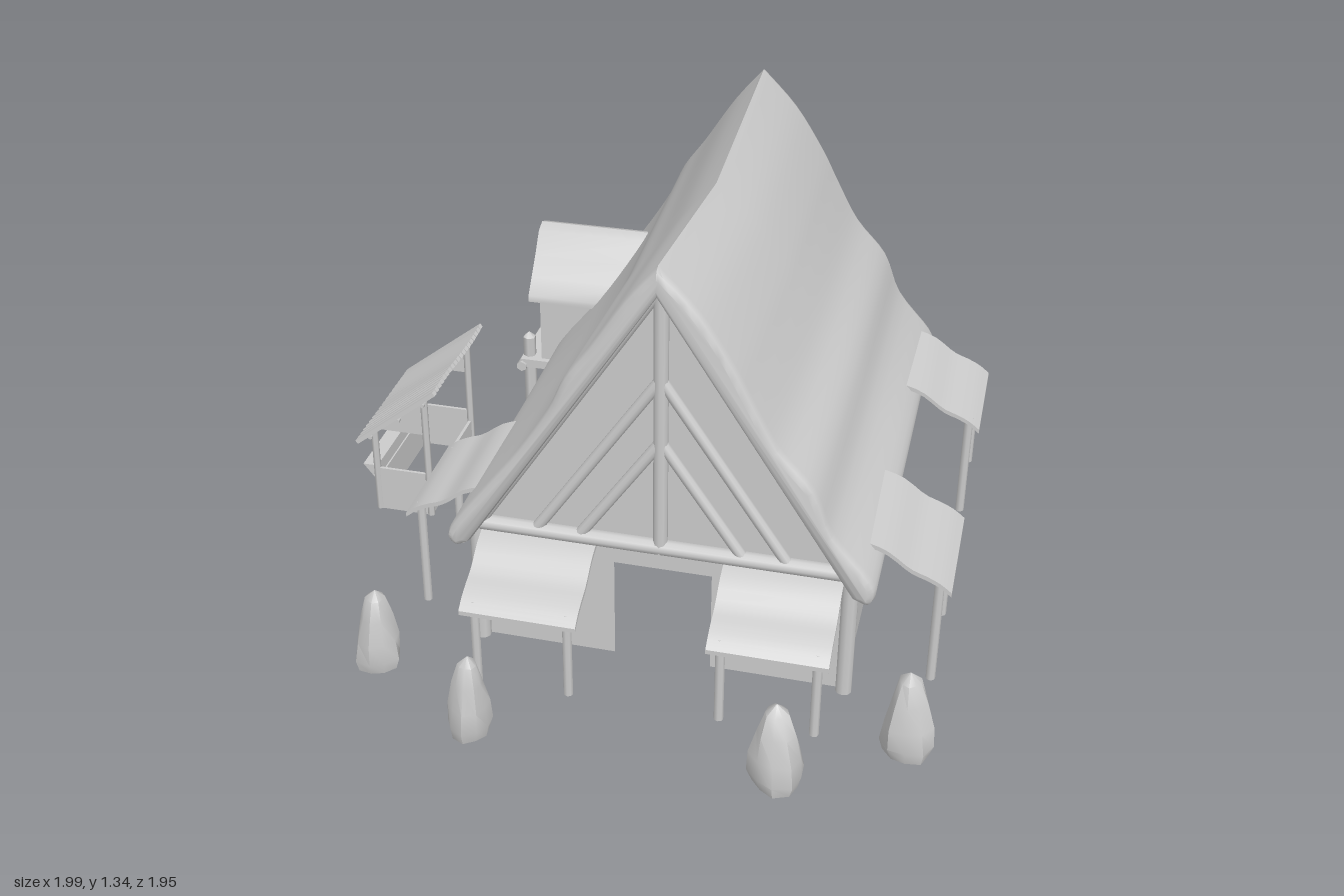
import * as THREE from 'three';
import { toCreasedNormals } from 'three/addons/utils/BufferGeometryUtils.js';

const grey = new THREE.MeshStandardMaterial({ color: 0xcccccc, side: THREE.DoubleSide });
const V = (x, y, z) => new THREE.Vector3(x, y, z);
const shapeOf = pts => new THREE.Shape(pts.map(p => new THREE.Vector2(p[0], p[1])));

function add(parent, name, geo, x = 0, y = 0, z = 0) {
  const m = new THREE.Mesh(geo, grey);
  m.name = name;
  m.position.set(x, y, z);
  parent.add(m);
  return m;
}

// Round timber between two points
function beam(parent, name, a, b, r, sides = 10) {
  const d = b.clone().sub(a);
  const m = add(parent, name, new THREE.CylinderGeometry(r, r, d.length(), sides));
  m.position.copy(a).add(b).multiplyScalar(0.5);
  m.quaternion.setFromUnitVectors(V(0, 1, 0), d.normalize());
  return m;
}

// Sheet of constant thickness under a list of points, extruded along z and centred
function sheet(pts, thick, depth) {
  const under = pts.map(p => [p[0], p[1] - thick]).reverse();
  const g = new THREE.ExtrudeGeometry(shapeOf([...pts, ...under]), { depth, bevelEnabled: false });
  g.translate(0, 0, -depth / 2);
  return toCreasedNormals(g, 0.7);
}

const smooth = (pts, n) => new THREE.SplineCurve(pts.map(p => new THREE.Vector2(p[0], p[1])))
  .getPoints(n).map(p => [p.x, p.y]);

const RIDGE = 0.16, FRONT = 0.47, BACK = -0.93, LEFT = 0.71, RIGHT = -0.39;

// Thatched main roof: wavy profile, sagging ridge
function addRoof(g) {
  const left = smooth([[0.16, 1.335], [0.275, 1.215], [0.37, 1.07], [0.425, 0.965], [0.5, 0.83],
    [0.6, 0.715], [0.66, 0.575], [0.77, 0.445], [0.785, 0.39], [0.765, 0.36], [0.72, 0.375]], 40);
  const right = smooth([[-0.4, 0.375], [-0.44, 0.36], [-0.465, 0.395], [-0.43, 0.46], [-0.34, 0.58],
    [-0.24, 0.715], [-0.15, 0.86], [-0.1, 0.97], [-0.03, 1.07], [0.07, 1.225], [0.16, 1.335]], 40);
  const geo = new THREE.ExtrudeGeometry(shapeOf([...left, [RIDGE, 1.245], ...right.slice(0, -1)]), {
    depth: 1.46, steps: 2, bevelThickness: 0.03, bevelSize: 0.02, bevelOffset: -0.02, bevelSegments: 2,
  });
  geo.translate(0, 0, -0.94);
  const p = geo.attributes.position;
  for (let i = 0; i < p.count; i++) {
    const t = Math.min(1, Math.abs(p.getZ(i) + 0.21) / 0.73);
    const y = p.getY(i);
    p.setY(i, y - 0.085 * (1 - t) * Math.max(0, (y - 0.36) / 0.97));
  }
  add(g, 'thatchedRoof', toCreasedNormals(geo, 0.75));
}

// Walls, corner posts and gable timbers
function addHouse(g) {
  const gable = [[LEFT, 0], [LEFT, 0.4], [RIDGE, 1.26], [RIGHT, 0.4], [RIGHT, 0]];
  const door = [[0.02, 0], [0.02, 0.33], [0.31, 0.33], [0.31, 0]];
  add(g, 'frontWall', new THREE.ShapeGeometry(shapeOf([...gable, ...door])), 0, 0, FRONT);
  add(g, 'backWall', new THREE.ShapeGeometry(shapeOf(gable)), 0, 0, BACK);

  const side = [[FRONT, 0], [FRONT, 0.4], [BACK, 0.4], [BACK, 0]];
  const gap = [[-0.85, 0], [-0.85, 0.33], [-0.32, 0.33], [-0.32, 0]];
  add(g, 'leftWall', new THREE.ShapeGeometry(shapeOf(side)).rotateY(-Math.PI / 2), LEFT);
  add(g, 'rightWall', new THREE.ShapeGeometry(shapeOf([...side, ...gap])).rotateY(-Math.PI / 2), RIGHT);

  for (const z of [FRONT + 0.01, BACK - 0.01]) {
    for (const x of [LEFT, RIGHT]) beam(g, 'cornerPost', V(x, 0, z), V(x, 0.41, z), 0.024);
    beam(g, 'tieBeam', V(RIGHT - 0.01, 0.415, z), V(LEFT + 0.01, 0.415, z), 0.024);
    beam(g, 'kingPost', V(RIDGE, 0.4, z), V(RIDGE, 1.26, z), 0.021);
    for (const s of [-1, 1]) {
      beam(g, 'gableRafter', V(RIDGE, 1.26, z), V(RIDGE + s * 0.57, 0.38, z), 0.022);
      beam(g, 'gableBrace', V(RIDGE, 0.97, z), V(RIDGE + s * 0.37, 0.42, z), 0.017);
      beam(g, 'gableBrace', V(RIDGE, 0.77, z), V(RIDGE + s * 0.24, 0.42, z), 0.017);
    }
  }
}

// Drooping awning on two posts, reaching out along its own +z
function addAwning(g, x, y, z, turn, width) {
  const a = new THREE.Group();
  a.name = 'awning';
  const pts = smooth([[0, 0.145], [0.08, 0.12], [0.15, 0.07], [0.2, 0.05], [0.24, 0.03], [0.272, 0.005]], 14);
  add(a, 'awningCover', sheet(pts, 0.014, width).rotateY(-Math.PI / 2));
  for (const s of [-1, 1]) {
    const px = s * (width / 2 - 0.035);
    beam(a, 'awningPost', V(px, -y, 0.235), V(px, 0.025, 0.235), 0.014, 8);
  }
  a.position.set(x, y, z);
  a.rotation.y = turn;
  g.add(a);
}

// Gabled dormer with a balcony on two pointed posts
function addDormer(g) {
  const d = new THREE.Group();
  d.name = 'dormer';
  const half = [[0, 0.8], [0.04, 0.785], [0.09, 0.715], [0.14, 0.655], [0.18, 0.605]];
  const line = [...half.slice(1).reverse().map(p => [-p[0], p[1]]), ...half];
  add(d, 'dormerRoof', sheet(line, 0.022, 0.4).rotateY(-Math.PI / 2), -0.35, 0, 0);
  const body = new THREE.ExtrudeGeometry(
    shapeOf([[-0.15, 0.33], [0.15, 0.33], [0.15, 0.63], [0, 0.785], [-0.15, 0.63]]),
    { depth: 0.2, bevelEnabled: false }).rotateY(-Math.PI / 2);
  add(d, 'dormerBody', body, -0.32, 0, 0);
  add(d, 'balconyFloor', new THREE.BoxGeometry(0.2, 0.03, 0.34), -0.49, 0.335, 0);
  beam(d, 'balconyBeam', V(-0.585, 0.325, -0.18), V(-0.585, 0.325, 0.18), 0.018, 6);
  for (const z of [-0.13, 0.13]) {
    beam(d, 'balconyPost', V(-0.568, 0, z), V(-0.568, 0.42, z), 0.022, 6);
    add(d, 'postTip', new THREE.ConeGeometry(0.022, 0.02, 6), -0.568, 0.43, z);
  }
  d.position.z = -0.74;
  g.add(d);
}

// Market stall with a slatted lean-to roof
function addStall(g) {
  const s = new THREE.Group();
  s.name = 'stall';
  const xo = -0.94, xi = -0.76, z0 = -0.5, z1 = -0.08, zc = (z0 + z1) / 2;
  for (const z of [z0, z1]) {
    beam(s, 'stallOuterPost', V(xo, 0, z), V(xo, 0.3, z), 0.012, 6);
    beam(s, 'stallInnerPost', V(xi, 0, z), V(xi, 0.44, z), 0.012, 6);
    add(s, 'stallSidePanel', new THREE.BoxGeometry(xi - xo, 0.16, 0.01), (xo + xi) / 2, 0.08, z);
    add(s, 'stallGable', new THREE.ShapeGeometry(shapeOf([[xo, 0.31], [xi, 0.31], [xi, 0.445]])), 0, 0, z);
  }
  for (const x of [xo, xi]) add(s, 'stallLongPanel', new THREE.BoxGeometry(0.01, 0.12, z1 - z0), x, 0.06, zc);
  const counter = new THREE.ExtrudeGeometry(shapeOf([[-0.99, 0.165], [xo, 0.1], [xo, 0.165]]),
    { depth: z1 - z0, bevelEnabled: false });
  add(s, 'counter', counter, 0, 0, z0);
  const count = 19;
  for (let i = 0; i < count; i++) {
    const wob = Math.sin(i * 12.9) * 0.5;
    const slat = add(s, 'roofSlat', new THREE.BoxGeometry(0.355 + wob * 0.015, 0.014, 0.02),
      -0.852 + wob * 0.008, 0.378 + wob * 0.006, -0.52 + i * 0.46 / (count - 1));
    slat.rotation.set(wob * 0.3, wob * 0.06, Math.atan2(0.22, 0.28));
  }
  for (const [x, y] of [[-0.95, 0.285], [-0.85, 0.362], [-0.76, 0.433]])
    beam(s, 'roofBatten', V(x, y, -0.52), V(x, y, -0.06), 0.008, 6);
  g.add(s);
}

// Lumpy cone-shaped shrub, open at the bottom
function addShrub(g, x, z, r, h, seed) {
  const profile = [[0.85, 0], [1, 0.14], [0.92, 0.38], [0.68, 0.66], [0.42, 0.9], [0, 1]];
  const geo = new THREE.LatheGeometry(profile.map(p => new THREE.Vector2(p[0] * r, p[1] * h)), 9);
  const p = geo.attributes.position;
  for (let i = 0; i < p.count; i++) {
    const y = p.getY(i), a = Math.atan2(p.getZ(i), p.getX(i));
    const k = 1 + 0.1 * Math.sin(a * 3 + seed + y * 14);
    p.setXYZ(i, p.getX(i) * k + 0.012 * Math.sin(seed) * y / h, y, p.getZ(i) * k);
  }
  add(g, 'shrub', toCreasedNormals(geo, 0.8), x, 0, z);
}

export function createModel() {
  const g = new THREE.Group();
  g.name = 'cottage';
  addHouse(g);
  addRoof(g);
  addDormer(g);
  addStall(g);
  const q = Math.PI / 2;
  addAwning(g, -0.2, 0.265, 0.453, 0, 0.345);
  addAwning(g, 0.52, 0.265, 0.453, 0, 0.345);
  addAwning(g, 0.715, 0.335, 0.205, q, 0.385);
  addAwning(g, 0.715, 0.335, -0.69, q, 0.38);
  addAwning(g, -0.378, 0.335, 0.2, -q, 0.385);
  addShrub(g, -0.65, 0.69, 0.067, 0.27, 1);
  addShrub(g, -0.29, 0.91, 0.063, 0.27, 2.5);
  addShrub(g, 0.59, 0.9, 0.078, 0.27, 4);
  addShrub(g, 0.92, 0.69, 0.074, 0.275, 5.5);
  return g;
}
